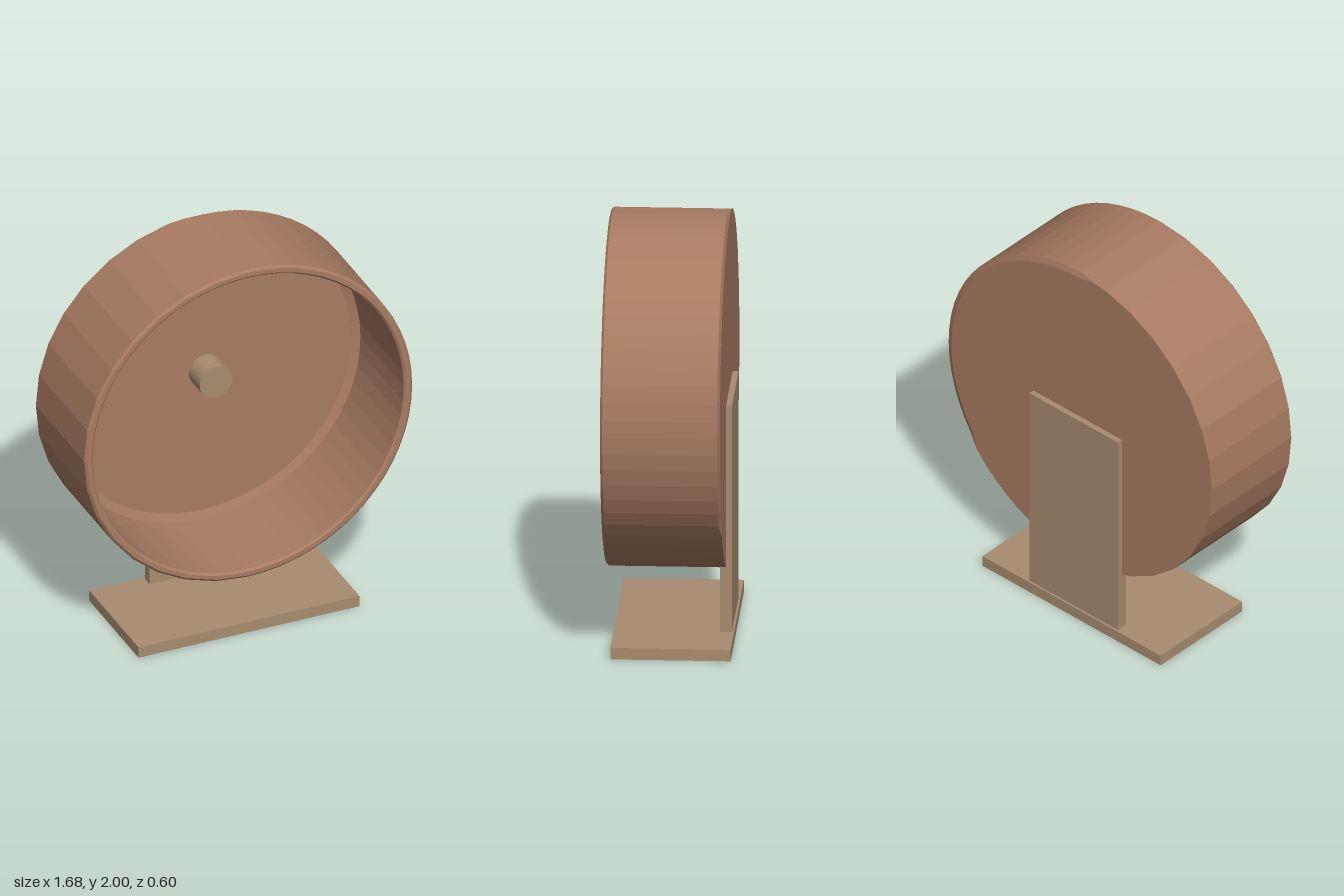
import * as THREE from 'three';

const WHEEL_Y = 1.16;
const SEGMENTS = 64;

function material(color) {
  return new THREE.MeshStandardMaterial({ color, flatShading: true });
}

function part(name, geometry, mat, x, y, z) {
  const mesh = new THREE.Mesh(geometry, mat);
  mesh.name = name;
  mesh.position.set(x, y, z);
  return mesh;
}

// Open drum: closed back, bevelled front rim, hollow inside. Profile is [radius, z].
function wheelGeometry() {
  const profile = [
    [0, -0.262], [0.812, -0.262], [0.84, -0.25], [0.84, 0.287], [0.828, 0.298],
    [0.806, 0.298], [0.796, 0.288], [0.796, -0.205], [0.755, -0.222], [0, -0.222],
  ].map(([r, z]) => new THREE.Vector2(r, z));
  const geometry = new THREE.LatheGeometry(profile, SEGMENTS);
  geometry.rotateX(Math.PI / 2);

  const pos = geometry.attributes.position;
  const rows = profile.length;
  for (let i = 0; i < pos.count; i++) {
    const row = i % rows;
    const column = Math.floor(i / rows);
    const angle = Math.atan2(pos.getY(i), pos.getX(i));
    let scale = 1;
    // The back bevel covers only the upper left part of the edge
    if (row === 1 || row === 2) {
      const bevelled = angle > -0.68 && angle < 1.64;
      if (!bevelled) {
        if (row === 1) scale = 0.84 / 0.812;
        pos.setZ(i, -0.262);
      }
    }
    // The right half of the outer wall has facets twice as wide
    if (row >= 1 && row <= 4 && column % 2 === 1 && pos.getX(i) < -0.05) {
      scale *= Math.cos((2 * Math.PI) / SEGMENTS);
    }
    pos.setXY(i, pos.getX(i) * scale, pos.getY(i) * scale);
  }
  geometry.computeVertexNormals();
  return geometry;
}

export function createModel() {
  const group = new THREE.Group();
  group.name = 'exerciseWheel';
  const brown = material(0xa87b62);
  const tan = material(0xa88c70);

  // Wheel
  group.add(part('wheel', wheelGeometry(), brown, 0, WHEEL_Y, 0));

  // Axle stub inside the drum
  const axle = new THREE.CylinderGeometry(0.084, 0.084, 0.15, 32);
  axle.rotateX(Math.PI / 2);
  group.add(part('axle', axle, tan, 0.01, 1.165, -0.175));

  // Upright plate behind the wheel
  group.add(part('upright', new THREE.BoxGeometry(0.562, 1.105, 0.055), tan, 0.011, 0.6075, -0.262));

  // Flat base
  group.add(part('base', new THREE.BoxGeometry(1.13, 0.056, 0.563), tan, 0.015, 0.028, -0.018));

  return group;
}
